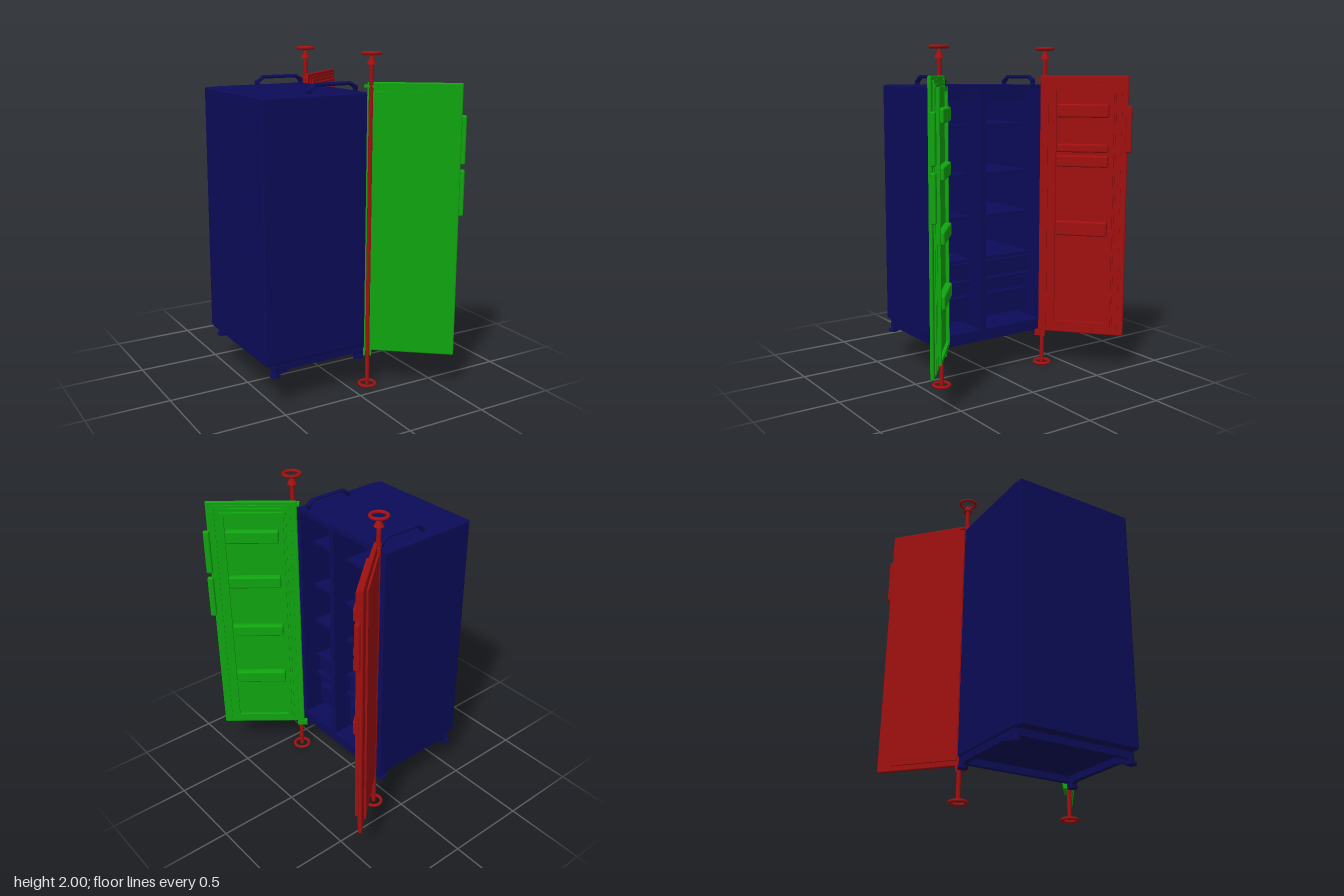
import * as THREE from 'three';
import { RoundedBoxGeometry } from 'three/addons/geometries/RoundedBoxGeometry.js';

const blue = new THREE.MeshStandardMaterial({ name: 'cabinet blue', color: 0x0c0c5a });
const green = new THREE.MeshStandardMaterial({ name: 'left door green', color: 0x10a510 });
const red = new THREE.MeshStandardMaterial({ name: 'right door red', color: 0xa01010 });

function add(parent, name, geometry, material, x = 0, y = 0, z = 0) {
  const mesh = new THREE.Mesh(geometry, material);
  mesh.name = name;
  mesh.position.set(x, y, z);
  parent.add(mesh);
  return mesh;
}

// Box given by its limits on each axis
function block(parent, name, material, [x0, x1], [y0, y1], [z0, z1], radius = 0) {
  const w = x1 - x0, h = y1 - y0, d = Math.abs(z1 - z0);
  const geometry = radius ? new RoundedBoxGeometry(w, h, d, 2, radius) : new THREE.BoxGeometry(w, h, d);
  return add(parent, name, geometry, material, (x0 + x1) / 2, (y0 + y1) / 2, (z0 + z1) / 2);
}

function rect(target, x0, x1, y0, y1) {
  target.moveTo(x0, y0);
  target.lineTo(x1, y0);
  target.lineTo(x1, y1);
  target.lineTo(x0, y1);
  target.closePath();
  return target;
}

function createCabinet() {
  const cabinet = new THREE.Group();
  cabinet.name = 'cabinet';

  // Shell with two compartments either side of a divider, open towards +x
  const outline = new THREE.Shape();
  const r = 0.015, a = 0.393, y0 = 0.26, y1 = 1.775;
  outline.moveTo(-a + r, y0);
  outline.lineTo(a - r, y0);
  outline.quadraticCurveTo(a, y0, a, y0 + r);
  outline.lineTo(a, y1 - r);
  outline.quadraticCurveTo(a, y1, a - r, y1);
  outline.lineTo(-a + r, y1);
  outline.quadraticCurveTo(-a, y1, -a, y1 - r);
  outline.lineTo(-a, y0 + r);
  outline.quadraticCurveTo(-a, y0, -a + r, y0);
  outline.holes.push(rect(new THREE.Path(), -0.36, -0.09, 0.29, 1.745));
  outline.holes.push(rect(new THREE.Path(), -0.05, 0.36, 0.29, 1.745));
  const shell = new THREE.ExtrudeGeometry(outline, { depth: 0.61, bevelEnabled: false });
  shell.rotateY(Math.PI / 2);
  add(cabinet, 'shell', shell, blue, -0.52);
  block(cabinet, 'backPanel', blue, [-0.565, -0.515], [0.26, 1.773], [-0.387, 0.387], 0.01);

  // Shelves, drawers and top lip in each compartment
  for (const [z0, z1] of [[-0.36, 0.05], [0.09, 0.36]]) {
    for (const y of [1.53, 1.235, 0.975, 0.71, 0.57]) {
      block(cabinet, 'shelf', blue, [-0.515, -0.02], [y - 0.006, y + 0.006], [z0, z1]);
      block(cabinet, 'shelfTrim', blue, [-0.02, -0.005], [y - 0.01, y + 0.01], [z0, z1]);
    }
    for (const [b, t] of [[0.33, 0.48], [0.5, 0.555], [0.585, 0.69]]) {
      block(cabinet, 'drawerFront', blue, [-0.05, -0.03], [b, t], [z0 + 0.01, z1 - 0.01]);
      block(cabinet, 'drawerBase', blue, [-0.5, -0.05], [b, b + 0.01], [z0 + 0.01, z1 - 0.01]);
      block(cabinet, 'drawerGrip', blue, [-0.03, -0.015], [t - 0.02, t], [z0 + 0.03, z1 - 0.03]);
    }
    block(cabinet, 'topLip', blue, [-0.1, -0.06], [1.68, 1.745], [z0, z1]);
  }

  // Plinth with arched side skirts
  const skirt = new THREE.Shape();
  skirt.moveTo(-0.51, 0.262);
  [[-0.51, 0.2], [-0.46, 0.2], [-0.4, 0.22], [0.01, 0.22], [0.05, 0.2], [0.09, 0.2], [0.09, 0.262]]
    .forEach(([x, y]) => skirt.lineTo(x, y));
  const skirtGeometry = new THREE.ExtrudeGeometry(skirt, { depth: 0.03, bevelEnabled: false });
  for (const s of [-1, 1]) {
    add(cabinet, 'sideSkirt', skirtGeometry, blue, 0, 0, s * 0.37 - 0.015);
    for (const x of [-0.5, 0.06]) {
      add(cabinet, 'footStem', new THREE.CylinderGeometry(0.02, 0.02, 0.05, 16), blue, x, 0.22, s * 0.37);
      add(cabinet, 'foot', new THREE.CylinderGeometry(0.03, 0.03, 0.016, 20), blue, x, 0.194, s * 0.375);
    }
  }
  block(cabinet, 'frontSkirt', blue, [0.06, 0.09], [0.22, 0.262], [-0.38, 0.38]);
  block(cabinet, 'backSkirt', blue, [-0.51, -0.48], [0.22, 0.262], [-0.38, 0.38]);

  // Raised cover bars above the hinges
  const path = new THREE.CurvePath();
  const points = [[-0.245, 1.792], [-0.205, 1.824], [0.02, 1.824], [0.055, 1.8]]
    .map(([x, y]) => new THREE.Vector3(x, y, 0));
  for (let i = 0; i < 3; i++) path.add(new THREE.LineCurve3(points[i], points[i + 1]));
  const bar = new THREE.TubeGeometry(path, 48, 0.011, 10);
  bar.scale(1, 1, 1.5);
  for (const s of [-1, 1]) {
    add(cabinet, 'topBar', bar, blue, 0, 0, s * 0.322);
    for (const p of [points[0], points[3]]) {
      add(cabinet, 'topBarEnd', new THREE.SphereGeometry(0.016, 14, 10), blue, p.x, p.y, s * 0.322);
      block(cabinet, 'topBarMount', blue, [p.x - 0.01, p.x + 0.01], [1.77, p.y], [s * 0.322 - 0.01, s * 0.322 + 0.01]);
    }
  }
  return cabinet;
}

// Door in its own frame: x runs from the hinge outwards, v towards the inside
function createDoor(name, material, side, hingeZ, angle, bins, handles) {
  const door = new THREE.Group();
  door.name = name;
  door.position.set(0.12, 0, hingeZ);
  door.rotation.y = -side * THREE.MathUtils.degToRad(angle);
  const part = (label, u, y, [v0, v1], radius) =>
    block(door, label, material, u, y, [-side * v0, -side * v1], radius);

  part('panel', [-0.025, 0.51], [0.222, 1.83], [0.004, 0.026], 0.008);
  part('outerPanel', [0.01, 0.42], [0.255, 1.78], [-0.007, 0.01]);
  part('liner', [0.04, 0.44], [0.26, 1.79], [0.02, 0.038]);

  // Raised rim around the liner and the seal near the panel edge
  for (const [label, u0, u1, b, t, w, v] of [
    ['linerRim', 0.055, 0.43, 0.28, 1.77, 0.025, 0.056],
    ['seal', 0.012, 0.475, 0.245, 1.808, 0.014, 0.034]]) {
    part(label, [u0, u0 + w], [b, t], [0.02, v]);
    part(label, [u1 - w, u1], [b, t], [0.02, v]);
    part(label, [u0 + w, u1 - w], [b, b + w], [0.02, v]);
    part(label, [u0 + w, u1 - w], [t - w, t], [0.02, v]);
  }
  for (const [b, t] of bins) part('doorBin', [0.085, 0.4], [b, t], [0.03, 0.075], 0.01);
  for (const [b, t] of handles) part('handle', [0.497, 0.535], [b, t], [0.018, 0.048], 0.01);

  // Hinge link at the top and bracket at the bottom
  part('hingeLink', [-0.04, 0.04], [1.8, 1.815], [-0.012, 0.03]);
  part('hingeBracket', [-0.045, 0.02], [0.19, 0.225], [0, 0.03]);
  return door;
}

// Hinge axis marker: a rod with an arrow tip and a ring at each end
function createAxis(z) {
  const axis = new THREE.Group();
  axis.name = 'hingeAxis';
  axis.position.set(0.118, 0, z);
  add(axis, 'rod', new THREE.CylinderGeometry(0.013, 0.013, 1.93, 20), red, 0, 0.975, 0);
  add(axis, 'arrowTip', new THREE.ConeGeometry(0.029, 0.055, 24), red, 0, 1.957, 0);
  const ring = new THREE.TorusGeometry(0.048, 0.01, 10, 36);
  ring.rotateX(Math.PI / 2);
  for (const y of [0.01, 1.99]) add(axis, 'ring', ring, red, 0, y, 0);
  return axis;
}

export function createModel() {
  const model = new THREE.Group();
  model.name = 'openRefrigerator';
  model.add(createCabinet());
  model.add(createDoor('leftDoor', green, 1, 0.39, 39,
    [[1.58, 1.66], [1.28, 1.355], [0.935, 1.01], [0.58, 0.66]],
    [[1.37, 1.65], [1.07, 1.34]]));
  model.add(createDoor('rightDoor', red, -1, -0.37, 41,
    [[1.58, 1.66], [1.37, 1.42], [1.28, 1.35], [0.855, 0.945]],
    [[1.37, 1.65]]));
  model.add(createAxis(0.39), createAxis(-0.367));
  return model;
}
